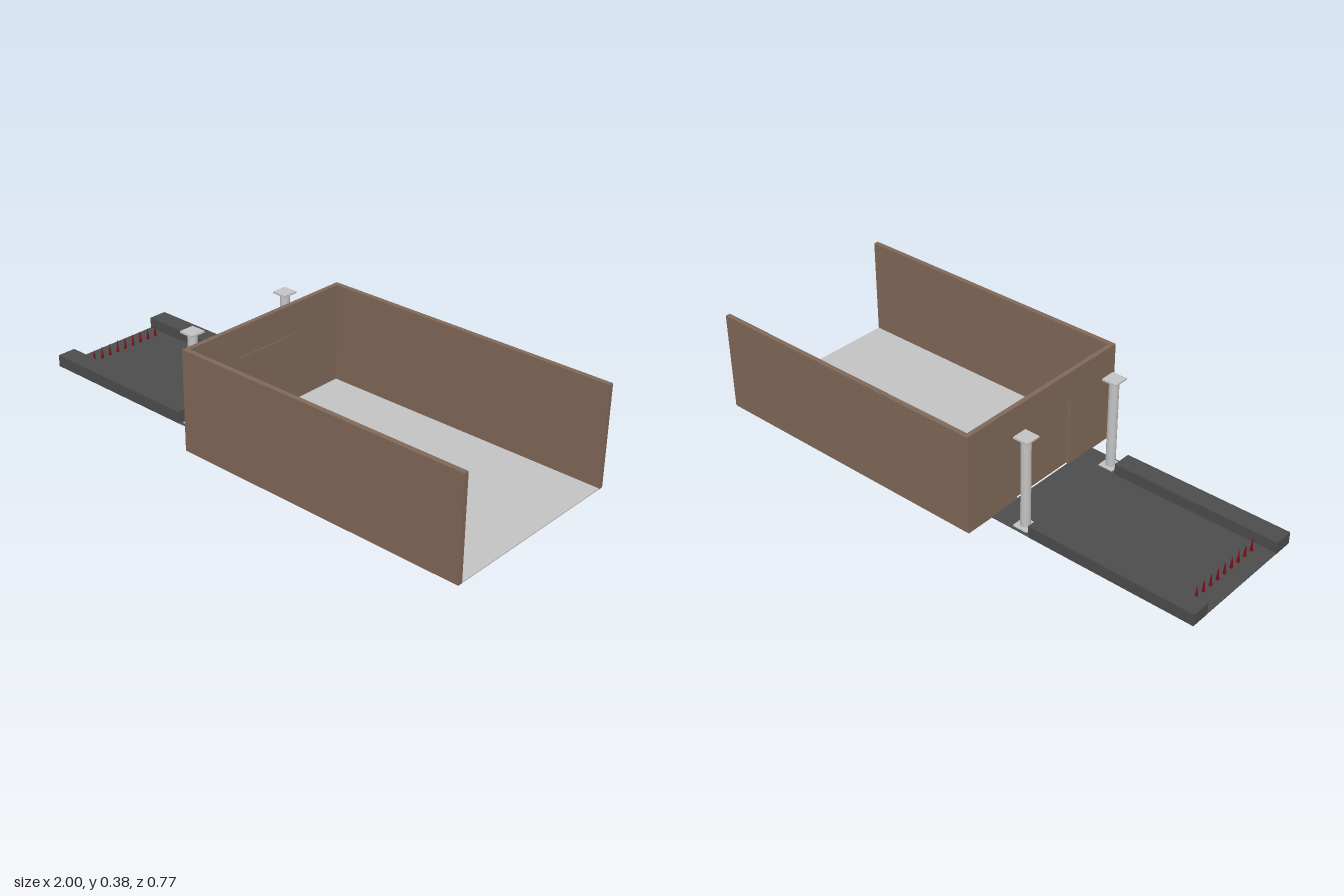
import * as THREE from 'three';

const mat = (name, color, extra = {}) => Object.assign(new THREE.MeshStandardMaterial({ color, ...extra }), { name });

export function createModel() {
  const model = new THREE.Group();
  model.name = 'walledYard';
  const brown = mat('wallBrown', 0x806858);
  const grey = mat('paleStone', 0xc3c3c3);
  const asphalt = mat('asphalt', 0x4c4c4c);
  const red = mat('spikeRed', 0x800818);

  const add = (name, geometry, material, x = 0, y = 0, z = 0, parent = model) => {
    const mesh = new THREE.Mesh(geometry, material);
    mesh.name = name;
    mesh.position.set(x, y, z);
    parent.add(mesh);
    return mesh;
  };
  // box given by its minimum and maximum corners
  const box = (name, material, x0, x1, y0, y1, z0, z1) =>
    add(name, new THREE.BoxGeometry(x1 - x0, y1 - y0, z1 - z0), material,
      (x0 + x1) / 2, (y0 + y1) / 2, (z0 + z1) / 2);

  // yard floor and roadway
  box('yardFloor', grey, -0.16, 1, 0, 0.004, -0.366, 0.366);
  box('roadway', asphalt, -1, -0.17, 0.001, 0.003, -0.27, 0.27);

  // end wall with a doorway cut out of its lower edge
  const wall = new THREE.Shape([
    [-0.365, 0], [-0.14, 0], [-0.14, 0.27], [0.14, 0.27], [0.14, 0],
    [0.365, 0], [0.365, 0.385], [-0.365, 0.385],
  ].map(([x, y]) => new THREE.Vector2(x, y)));
  const wallGeometry = new THREE.ExtrudeGeometry(wall, { depth: 0.018, bevelEnabled: false });
  wallGeometry.rotateY(Math.PI / 2);
  add('endWall', wallGeometry, brown, -0.175);

  for (const s of [-1, 1]) {
    const span = (a, b) => (s > 0 ? [a, b] : [-b, -a]);
    box('sideWall', brown, -0.175, 1, 0, 0.385, ...span(0.365, 0.384));
    box('doorLeaf', brown, -0.162, -0.154, 0.001, 0.27, ...span(0.001, 0.14));
    box('kerb', asphalt, -1, -0.335, 0, 0.046, ...span(0.195, 0.27));

    // gate column: shaft between two square plates
    const column = new THREE.Group();
    column.name = 'gateColumn';
    column.position.set(-0.29, 0, s * 0.23);
    const plate = new THREE.BoxGeometry(0.06, 0.007, 0.06);
    add('columnBase', plate, grey, 0, 0.0035, 0, column);
    add('columnCap', plate, grey, 0, 0.3595, 0, column);
    add('columnShaft', new THREE.CylinderGeometry(0.018, 0.018, 0.35, 24), grey, 0, 0.181, 0, column);
    model.add(column);
  }

  // row of spikes across the roadway
  const spike = new THREE.ConeGeometry(0.006, 0.05, 12);
  for (let i = -4; i <= 4; i++) add('spike', spike, red, -0.93, 0.028, i * 0.0388);

  return model;
}
